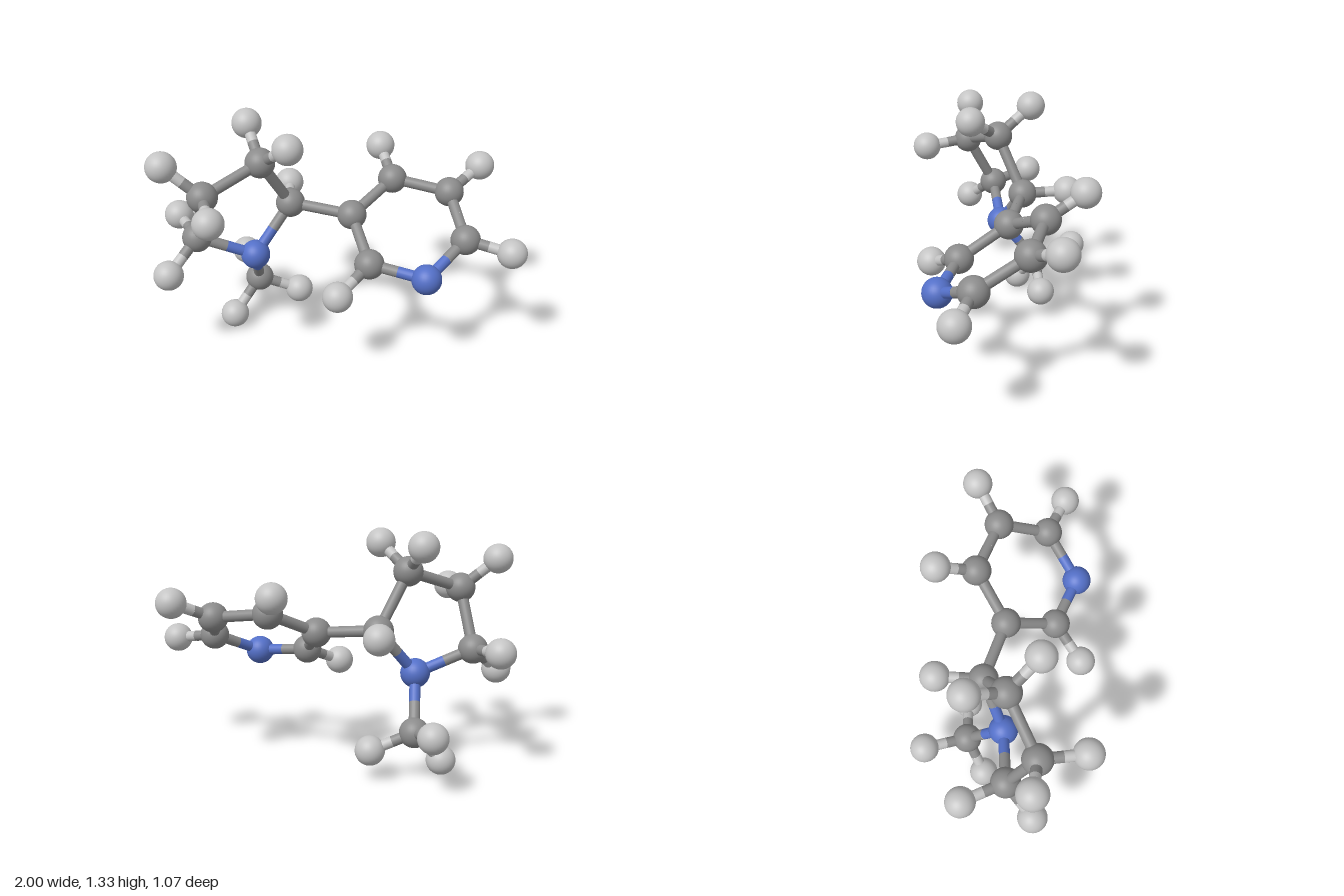
import * as THREE from 'three';

const ATOM_RADIUS = 0.081;
const BOND_RADIUS = 0.03;

// name: [element, x, y, z]
const ATOMS = {
  // five-sided ring
  ringNitrogen: ['N', -0.475, 0.54, 0.0],
  ringCarbonA: ['C', -0.283, 0.80, -0.13],
  ringCarbonB: ['C', -0.425, 1.096, 0.015],
  ringCarbonC: ['C', -0.705, 0.983, 0.208],
  ringCarbonD: ['C', -0.782, 0.673, 0.058],
  // methyl branch
  methylCarbon: ['C', -0.487, 0.272, -0.212],
  // six-sided ring
  hexCarbonA: ['C', 0.06, 0.763, -0.06],
  hexCarbonB: ['C', 0.157, 0.60, 0.205],
  hexNitrogen: ['N', 0.457, 0.561, 0.293],
  hexCarbonC: ['C', 0.673, 0.693, 0.093],
  hexCarbonD: ['C', 0.60, 0.854, -0.176],
  hexCarbonE: ['C', 0.285, 0.898, -0.252],
};

const RINGS = [
  ['ringNitrogen', 'ringCarbonA', 'ringCarbonB', 'ringCarbonC', 'ringCarbonD'],
  ['hexCarbonA', 'hexCarbonB', 'hexNitrogen', 'hexCarbonC', 'hexCarbonD', 'hexCarbonE'],
];

const LINKS = [['ringNitrogen', 'methylCarbon'], ['ringCarbonA', 'hexCarbonA']];

// hydrogen positions, listed by the carbon that carries them
const HYDROGENS = {
  ringCarbonA: [[-0.308, 0.813, -0.384]],
  ringCarbonB: [[-0.51, 1.25, -0.17], [-0.264, 1.229, 0.162]],
  ringCarbonC: [[-0.902, 1.147, 0.206], [-0.636, 0.954, 0.453]],
  ringCarbonD: [[-0.919, 0.706, -0.156], [-0.919, 0.523, 0.219]],
  methylCarbon: [[-0.591, 0.329, -0.438], [-0.256, 0.173, -0.247], [-0.63, 0.083, -0.101]],
  hexCarbonB: [[-0.008, 0.497, 0.374]],
  hexCarbonC: [[0.915, 0.652, 0.166]],
  hexCarbonD: [[0.78, 0.954, -0.32]],
  hexCarbonE: [[0.219, 1.02, -0.453]],
};

export function createModel() {
  const model = new THREE.Group();
  model.name = 'molecule';

  const material = (name, color) => new THREE.MeshStandardMaterial({ name, color });
  const materials = {
    C: material('carbon grey', 0x8c8c8c),
    H: material('hydrogen light grey', 0xc4c4c4),
    N: material('nitrogen blue', 0x5470c8),
  };
  const ball = new THREE.SphereGeometry(ATOM_RADIUS, 32, 20);
  const up = new THREE.Vector3(0, 1, 0);
  const atoms = {};

  function addAtom(name, element, x, y, z) {
    const mesh = new THREE.Mesh(ball, materials[element]);
    mesh.name = name;
    mesh.position.set(x, y, z);
    model.add(mesh);
    atoms[name] = { element, position: mesh.position };
  }

  // one rod from an atom's centre to the given end
  function addRod(name, from, end, element) {
    const direction = end.clone().sub(from);
    const length = direction.length();
    const rod = new THREE.Mesh(
      new THREE.CylinderGeometry(BOND_RADIUS, BOND_RADIUS, length, 20, 1, true),
      materials[element],
    );
    rod.name = name;
    rod.position.copy(from).add(end).multiplyScalar(0.5);
    rod.quaternion.setFromUnitVectors(up, direction.normalize());
    model.add(rod);
  }

  // each half of a bond takes the colour of its own atom
  function addBond(nameA, nameB) {
    const a = atoms[nameA];
    const b = atoms[nameB];
    const middle = a.position.clone().lerp(b.position, 0.5);
    addRod(`${nameA}Bond`, a.position, middle, a.element);
    addRod(`${nameB}Bond`, b.position, middle, b.element);
  }

  for (const [name, data] of Object.entries(ATOMS)) addAtom(name, ...data);

  // ring bonds, then the bonds joining the pieces
  for (const ring of RINGS) {
    ring.forEach((name, i) => addBond(name, ring[(i + 1) % ring.length]));
  }
  for (const [a, b] of LINKS) addBond(a, b);

  // hydrogens with their bonds
  for (const [carbon, positions] of Object.entries(HYDROGENS)) {
    positions.forEach((position, i) => {
      const name = `${carbon}Hydrogen${i + 1}`;
      addAtom(name, 'H', ...position);
      addBond(carbon, name);
    });
  }

  return model;
}
